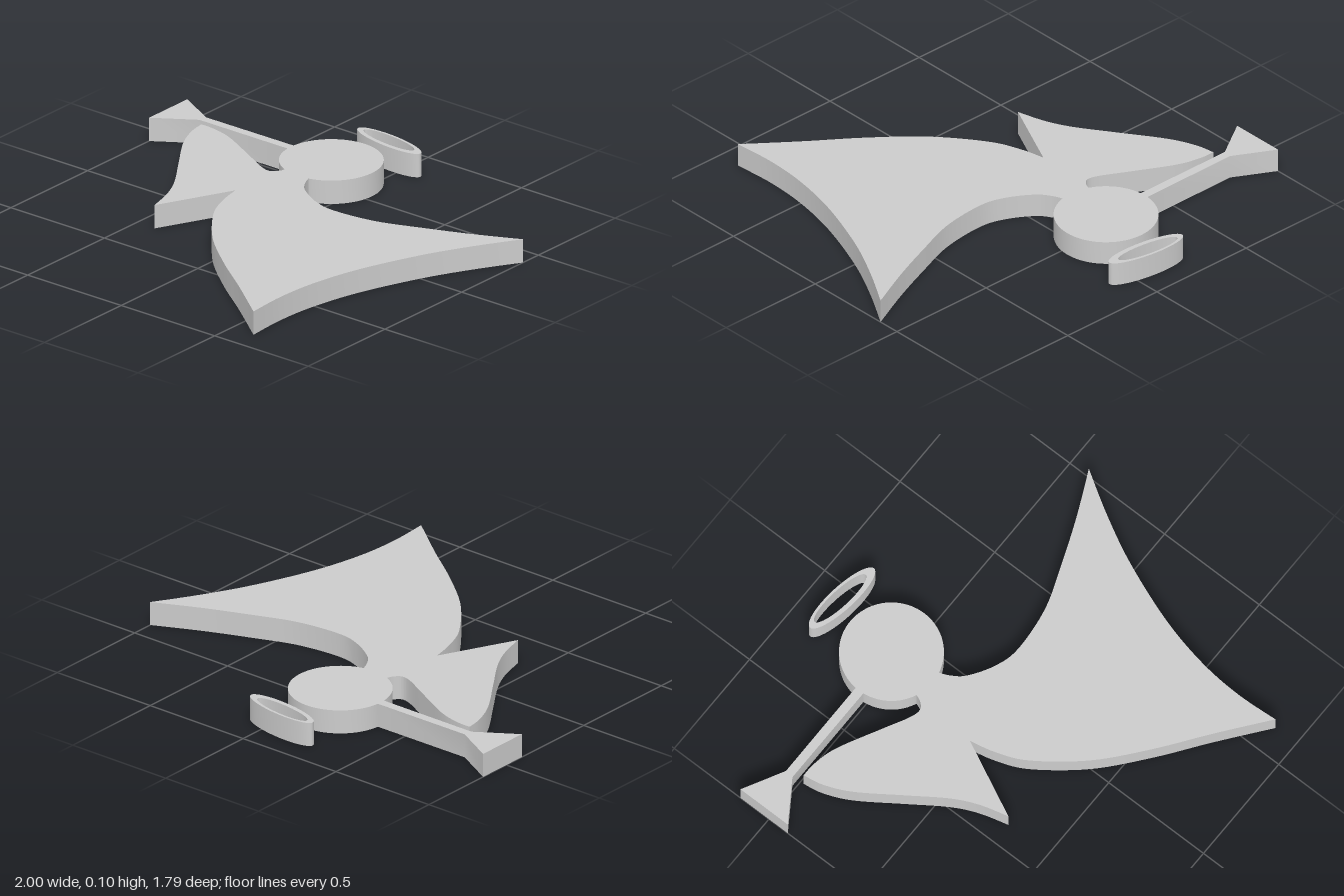
import * as THREE from 'three';
import { toCreasedNormals } from 'three/addons/utils/BufferGeometryUtils.js';

const THICKNESS = 0.105;
const material = new THREE.MeshStandardMaterial({ color: 0xcccccc });

// Flat plate lying on the ground; outlines are drawn as (x, -z)
function plate(name, shape, curveSegments = 8) {
  const geometry = new THREE.ExtrudeGeometry(shape, { depth: THICKNESS, bevelEnabled: false, curveSegments });
  geometry.rotateX(-Math.PI / 2);
  const mesh = new THREE.Mesh(toCreasedNormals(geometry, 0.6), material);
  mesh.name = name;
  return mesh;
}

const toPoints = (pairs) => pairs.map(([x, z]) => new THREE.Vector2(x, -z));

// Head circle and the two neck points on its rim
const HEAD = { x: -0.138, z: -0.538, r: 0.217 };
const neckLeft = [-0.088, -0.327];
const neckRight = [-0.223, -0.339];
const headAngle = ([x, z]) => Math.atan2(HEAD.z - z, x - HEAD.x);

// Each run is one smooth edge; corners fall where runs meet
const robeEdges = [
  // shoulder and upper edge of the small sleeve
  [neckRight, [-0.235, -0.31], [-0.265, -0.287], [-0.318, -0.3], [-0.425, -0.356],
    [-0.612, -0.452], [-0.72, -0.481], [-0.789, -0.484]],
  // outer edge of the sleeve
  [[-0.773, -0.398], [-0.72, -0.28], [-0.6, -0.104], [-0.495, 0.05], [-0.44, 0.163], [-0.404, 0.291]],
  // notch under the sleeve
  [[-0.243, -0.04]],
  // front of the robe
  [[-0.217, 0.072], [-0.158, 0.206], [0, 0.404], [0.2, 0.575], [0.404, 0.725], [0.617, 0.89]],
  // hem
  [[0.607, 0.7], [0.623, 0.5], [0.676, 0.27], [0.778, 0], [0.885, -0.21], [1, -0.4]],
  // back of the robe up to the neck
  [[0.8, -0.307], [0.6, -0.227], [0.404, -0.158], [0.2, -0.136], [0.083, -0.163],
    [-0.024, -0.227], [-0.067, -0.28], neckLeft],
];

function robeShape() {
  const shape = new THREE.Shape();
  shape.moveTo(neckRight[0], -neckRight[1]);
  for (const edge of robeEdges) {
    const points = toPoints(edge[0] === neckRight ? edge.slice(1) : edge);
    if (points.length === 1) shape.lineTo(points[0].x, points[0].y);
    else shape.splineThru(points);
  }
  return shape;
}

function headShape() {
  const shape = new THREE.Shape();
  shape.absarc(HEAD.x, -HEAD.z, HEAD.r, headAngle(neckLeft), headAngle(neckRight) + Math.PI * 2, false);
  return shape;
}

function haloShape() {
  const tilt = -0.126;
  const shape = new THREE.Shape();
  shape.absellipse(-0.08, 0.845, 0.186, 0.05, 0, Math.PI * 2, false, tilt);
  const hole = new THREE.Path();
  hole.absellipse(-0.086, 0.85, 0.148, 0.035, 0, Math.PI * 2, true, tilt);
  shape.holes.push(hole);
  return shape;
}

export function createModel() {
  const group = new THREE.Group();
  group.name = 'angelOrnament';

  // Straight pipe with a flared bell, ending at the head rim
  const trumpet = new THREE.Shape(toPoints([
    [-1, -0.65], [-0.82, -0.553], [-0.354, -0.555], [-0.354, -0.515], [-0.825, -0.515], [-1, -0.4],
  ]));

  group.add(
    plate('robe', robeShape(), 6),
    plate('head', headShape(), 32),
    plate('trumpet', trumpet),
    plate('halo', haloShape(), 24),
  );
  return group;
}
